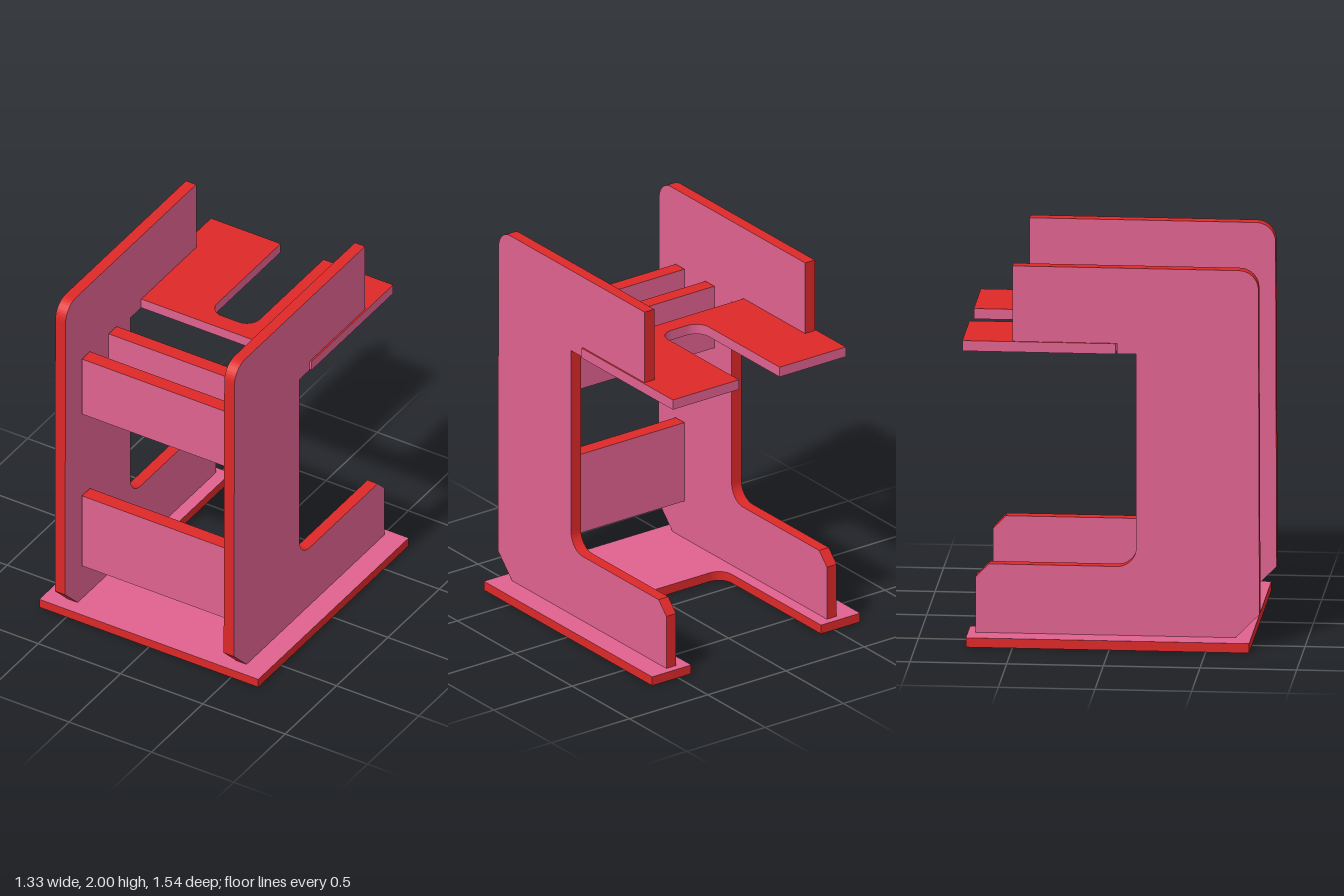
import * as THREE from 'three';

const pink = new THREE.MeshStandardMaterial({ color: 0xe0628f });
const red = new THREE.MeshStandardMaterial({ color: 0xdd2828 });

// Closed outline from [x, y, radius?] corners; corners with a radius are rounded
function outline(corners) {
  const shape = new THREE.Shape();
  const n = corners.length;
  corners.forEach(([x, y, r = 0], i) => {
    const p = new THREE.Vector2(x, y);
    const toward = (c, d) => new THREE.Vector2(c[0], c[1]).sub(p).setLength(d).add(p);
    const prev = corners[(i + n - 1) % n], next = corners[(i + 1) % n];
    const a = toward(prev, r), b = toward(next, r);
    if (i === 0) shape.moveTo(a.x, a.y);
    else shape.lineTo(a.x, a.y);
    if (r > 0) {
      const c1 = toward(prev, r * 0.45), c2 = toward(next, r * 0.45);
      shape.bezierCurveTo(c1.x, c1.y, c2.x, c2.y, b.x, b.y);
    }
  });
  shape.closePath();
  return shape;
}

// Board cut from an outline, with separate colours for its faces and its cut edges
function board(name, corners, thickness, face, edge) {
  const geometry = new THREE.ExtrudeGeometry(outline(corners), {
    depth: thickness, bevelEnabled: false, curveSegments: 10,
  });
  const mesh = new THREE.Mesh(geometry, [face, edge]);
  mesh.name = name;
  return mesh;
}

// Horizontal board with a rounded notch open to the back
function notchedBoard(name, halfWidth, front, back, notchHalf, notchFront, radius, y, thickness, face, edge) {
  const mesh = board(name, [
    [-halfWidth, -front], [halfWidth, -front], [halfWidth, -back], [notchHalf, -back],
    [notchHalf, -notchFront, radius], [-notchHalf, -notchFront, radius],
    [-notchHalf, -back], [-halfWidth, -back],
  ], thickness, face, edge);
  mesh.geometry.rotateX(-Math.PI / 2);
  mesh.position.y = y;
  return mesh;
}

export function createModel() {
  const group = new THREE.Group();
  group.name = 'standingFrame';

  // Base plate and table top
  group.add(notchedBoard('basePlate', 0.665, 0.725, -0.74, 0.415, 0.12, 0.08, 0, 0.05, pink, red));
  group.add(notchedBoard('tableTop', 0.553, 0.025, -0.768, 0.13, -0.07, 0.08, 1.545, 0.055, red, pink));

  // C-shaped side panels, profile listed as [-z, y, radius]
  const profile = [
    [-0.645, 0.05], [0.7, 0.05], [0.7, 0.345], [0.632, 0.415],
    [-0.13, 0.415, 0.1], [-0.13, 1.545], [-0.03, 1.545], [-0.03, 1.6],
    [0.51, 1.6], [0.51, 2], [-0.762, 2, 0.1], [-0.768, 0.175],
  ];
  for (const [name, x] of [['leftSidePanel', 0.482], ['rightSidePanel', -0.544]]) {
    const panel = board(name, profile, 0.062, pink, red);
    panel.geometry.rotateY(Math.PI / 2);
    panel.position.x = x;
    group.add(panel);
  }

  // Cross rails between the panels: bottom, top and back z
  const rails = [
    ['lowerFrontRail', 0.265, 0.71, 0.533],
    ['upperFrontRail', 1.23, 1.58, 0.533],
    ['upperRearRail', 1.23, 1.58, 0.272],
  ];
  for (const [name, y0, y1, z] of rails) {
    const rail = board(name, [[-0.477, y0], [0.477, y0], [0.477, y1], [-0.477, y1]], 0.078, pink, red);
    rail.position.z = z;
    group.add(rail);
  }
  return group;
}
